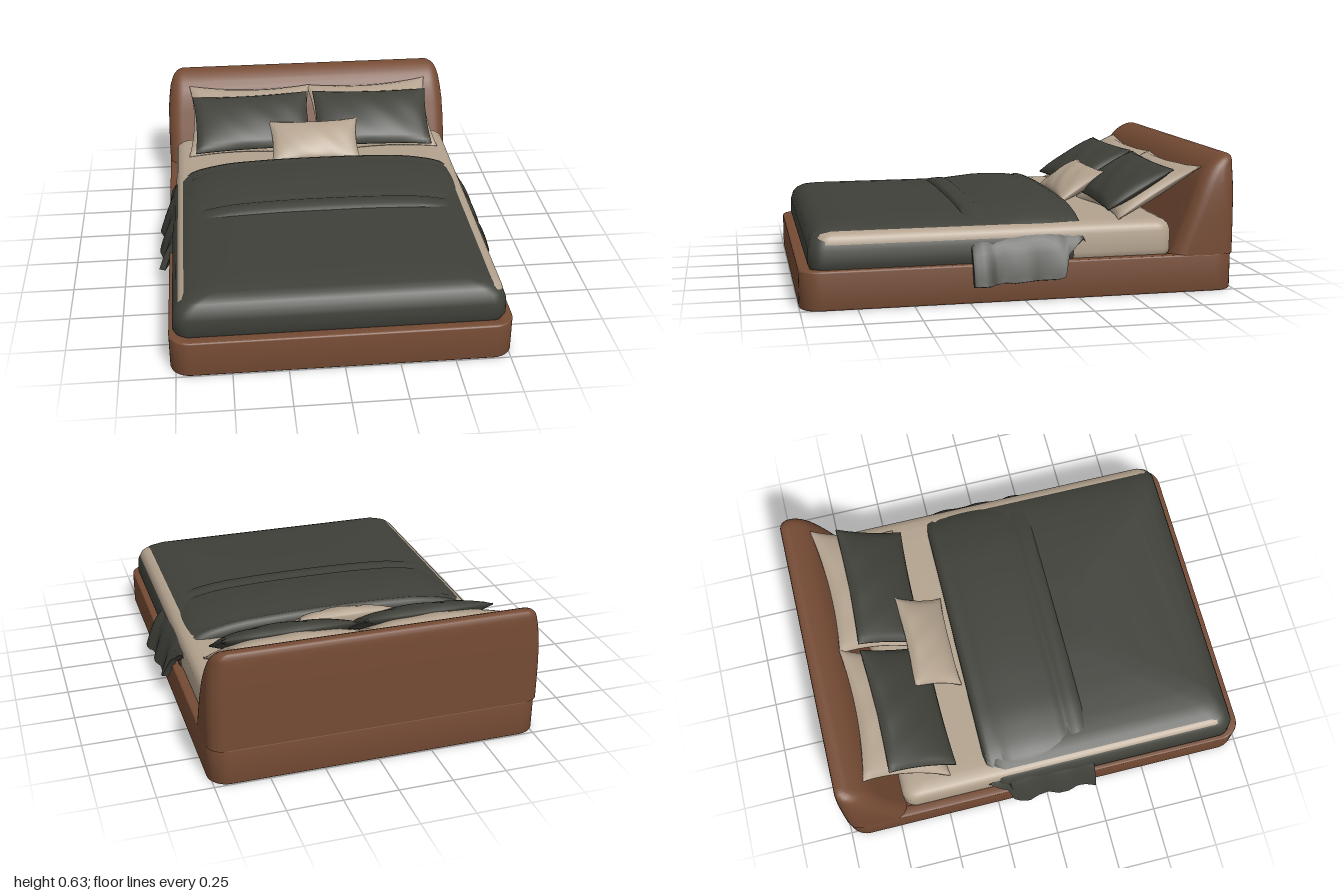
import * as THREE from 'three';
import { mergeVertices, toCreasedNormals } from 'three/addons/utils/BufferGeometryUtils.js';

const material = (name, color) => Object.assign(new THREE.MeshStandardMaterial({ color }), { name });

// Rounded rectangle outline at height y
function ring(y, x0, x1, z0, z1, radius) {
  const r = Math.min(radius, (x1 - x0) / 2 - 0.001, (z1 - z0) / 2 - 0.001);
  const centres = [[x1 - r, z0 + r], [x0 + r, z0 + r], [x0 + r, z1 - r], [x1 - r, z1 - r]];
  const points = [];
  centres.forEach(([cx, cz], q) => {
    for (let i = 0; i <= 8; i++) {
      const a = (q + i / 8) * Math.PI / 2;
      points.push(new THREE.Vector3(cx + r * Math.cos(a), y, cz - r * Math.sin(a)));
    }
  });
  return points;
}

// Skin a list of equal-length outlines, closed at both ends
function loft(rings, crease = 0.7) {
  const n = rings[0].length, last = (rings.length - 1) * n, index = [];
  for (let i = 0; i < rings.length - 1; i++) {
    for (let j = 0; j < n; j++) {
      const a = i * n + j, b = i * n + (j + 1) % n;
      index.push(a, b, b + n, a, b + n, a + n);
    }
  }
  for (let j = 0; j < n / 2 - 1; j++) {
    const a = j, b = j + 1, c = n - 2 - j, d = n - 1 - j;
    index.push(a, c, b, a, d, c);
    index.push(last + a, last + b, last + c, last + a, last + c, last + d);
  }
  const g = new THREE.BufferGeometry().setFromPoints(rings.flat());
  g.setIndex(index);
  return toCreasedNormals(g, crease);
}

// Stuffed cushion with pinched corners and bowed-in edges, lying in the xy plane
function cushion(w, h, t, bow) {
  let g = new THREE.BoxGeometry(2, 2, 2, 28, 20, 1);
  const p = g.attributes.position;
  for (let i = 0; i < p.count; i++) {
    const u = p.getX(i), v = p.getY(i), side = p.getZ(i);
    const puff = Math.pow((1 - u * u) * (1 - v * v), 0.5);
    const wrinkle = 1 + 0.05 * Math.sin(u * 9 + v * 4);
    p.setXYZ(i,
      u * w / 2 * (1 - bow * 0.6 * (1 - v * v)),
      v * h / 2 * (1 - bow * (1 - u * u)),
      side * (0.004 + t / 2 * puff * wrinkle));
  }
  g.deleteAttribute('normal');
  g.deleteAttribute('uv');
  g = mergeVertices(g);
  g.computeVertexNormals();
  return g;
}

// Folded blanket that arches over the bed and hangs down both sides
function blanket() {
  const half = [[0, 0.405], [0.3, 0.4], [0.5, 0.385], [0.66, 0.342], [0.745, 0.265], [0.785, 0.18], [0.815, 0.085]];
  const path = [...half].reverse().concat(half.slice(1).map(([x, y]) => [-x, y]));
  const curve = new THREE.CatmullRomCurve3(path.map(([x, y]) => new THREE.Vector3(x, y, 0)));
  // z, lift of the surface, share of the hanging sides that is present
  const stations = [
    [-0.285, -0.03, 0.78], [-0.275, -0.008, 0.79], [-0.25, 0, 0.82], [-0.23, -0.006, 0.84], [-0.2, 0, 0.87],
    [-0.175, 0.002, 0.97], [-0.15, 0.004, 0.98], [-0.1, 0.006, 0.985], [-0.05, 0.006, 0.985], [0, 0.004, 0.985],
    [0.05, -0.001, 0.99], [0.1, -0.006, 0.99], [0.13, -0.009, 0.995], [0.145, -0.016, 0.995], [0.16, -0.009, 1],
    [0.19, -0.009, 1], [0.225, -0.012, 1], [0.24, -0.024, 1]];
  const N = 64, rings = stations.map(([z, lift, reach]) => {
    const outer = [], inner = [];
    for (let i = 0; i <= N; i++) {
      const t = 0.5 + (i / N - 0.5) * reach;
      const p = curve.getPointAt(t), d = curve.getTangentAt(t);
      const hang = THREE.MathUtils.smoothstep(Math.abs(p.x), 0.72, 0.82);
      p.x += Math.sign(p.x) * hang * 0.012 * Math.sin(z * 34 + Math.sign(p.x)) - 0.005;
      p.y += lift * (1 - hang);
      p.z = z;
      outer.push(p);
      inner.push(new THREE.Vector3(p.x - d.y * 0.03, p.y + d.x * 0.03, z));
    }
    return outer.concat(inner.reverse());
  });
  return loft(rings, 0.9);
}

export function createModel() {
  const brown = material('brown upholstery', 0x754b34);
  const dark = material('dark grey fabric', 0x40403a);
  const beige = material('beige linen', 0xb3a28e);
  const bed = new THREE.Group();
  bed.name = 'bed';
  const add = (name, geometry, mat, position = [0, 0, 0], tilt = 0, turn = 0) => {
    const mesh = new THREE.Mesh(geometry, mat);
    mesh.name = name;
    mesh.position.set(...position);
    mesh.rotation.set(tilt, 0, turn);
    bed.add(mesh);
  };

  // Hollow base frame
  const flat = (pts) => pts.map((p) => new THREE.Vector2(p.x, -p.z));
  const outline = new THREE.Shape(flat(ring(0, -0.767, 0.757, -0.992, 0.992, 0.085)));
  outline.holes.push(new THREE.Path(flat(ring(0, -0.73, 0.72, -0.955, 0.955, 0.05))));
  const frame = new THREE.ExtrudeGeometry(outline, {
    depth: 0.159, bevelEnabled: true, bevelThickness: 0.008, bevelSize: 0.008, bevelSegments: 3 });
  frame.rotateX(-Math.PI / 2).translate(0, 0.008, 0);
  frame.deleteAttribute('uv');
  add('baseFrame', toCreasedNormals(frame, 0.7), brown);

  // Platform set into the frame
  add('platform', loft([0.09, 0.166].map((y) => ring(y, -0.735, 0.725, -0.96, 0.96, 0.05))), brown);

  // Headboard: height, half width, front z, back z
  const boardLevels = [
    [0.17, 0.77, -0.695, -1], [0.25, 0.77, -0.725, -1], [0.35, 0.769, -0.765, -1], [0.44, 0.765, -0.8, -1],
    [0.5, 0.758, -0.824, -1], [0.55, 0.75, -0.85, -0.999], [0.58, 0.74, -0.875, -0.998], [0.6, 0.73, -0.9, -0.996],
    [0.615, 0.715, -0.925, -0.993], [0.624, 0.697, -0.945, -0.988], [0.628, 0.675, -0.96, -0.98]];
  add('headboard', loft(boardLevels.map(([y, w, z1, z0]) => ring(y, -w - 0.005, w - 0.005, z0, z1, 0.07))), brown);

  // Mattress: height, inset
  const mattressLevels = [[0.166, 0.012], [0.18, 0.002], [0.2, 0], [0.285, 0], [0.31, 0.008], [0.325, 0.022], [0.333, 0.045], [0.335, 0.08]];
  add('mattress', loft(mattressLevels.map(([y, s]) => ring(y, -0.735 + s, 0.725 - s, -0.705 + s, 0.93 - s, 0.06))), beige);

  // Domed duvet: height, half width, front z
  const duvetLevels = [
    [0.166, 0.738, 0.945], [0.19, 0.747, 0.957], [0.26, 0.744, 0.955], [0.3, 0.728, 0.943], [0.325, 0.7, 0.925],
    [0.343, 0.66, 0.9], [0.353, 0.61, 0.87], [0.36, 0.53, 0.78], [0.367, 0.4, 0.6], [0.373, 0.2, 0.4]];
  add('duvet', loft(duvetLevels.map(([y, w, z1]) => ring(y, -w - 0.01, w - 0.01, -0.265, z1, 0.07)), 1), dark);

  add('foldedBlanket', blanket(), dark);

  // Pillows leaning back toward the headboard
  for (const s of [-1, 1]) {
    const side = s < 0 ? 'right' : 'left';
    add(side + 'BackPillow', cushion(0.66, 0.46, 0.11, 0.13), beige, [s * 0.328, 0.445, -0.65], -Math.PI / 3, s * 0.03);
    add(side + 'FrontPillow', cushion(0.62, 0.36, 0.1, 0.06), dark, [s * 0.322, 0.465, -0.582], -Math.PI / 3, s * -0.02);
  }
  add('smallPillow', cushion(0.47, 0.265, 0.1, 0.1), beige, [-0.002, 0.417, -0.415], -1.0);

  return bed;
}
